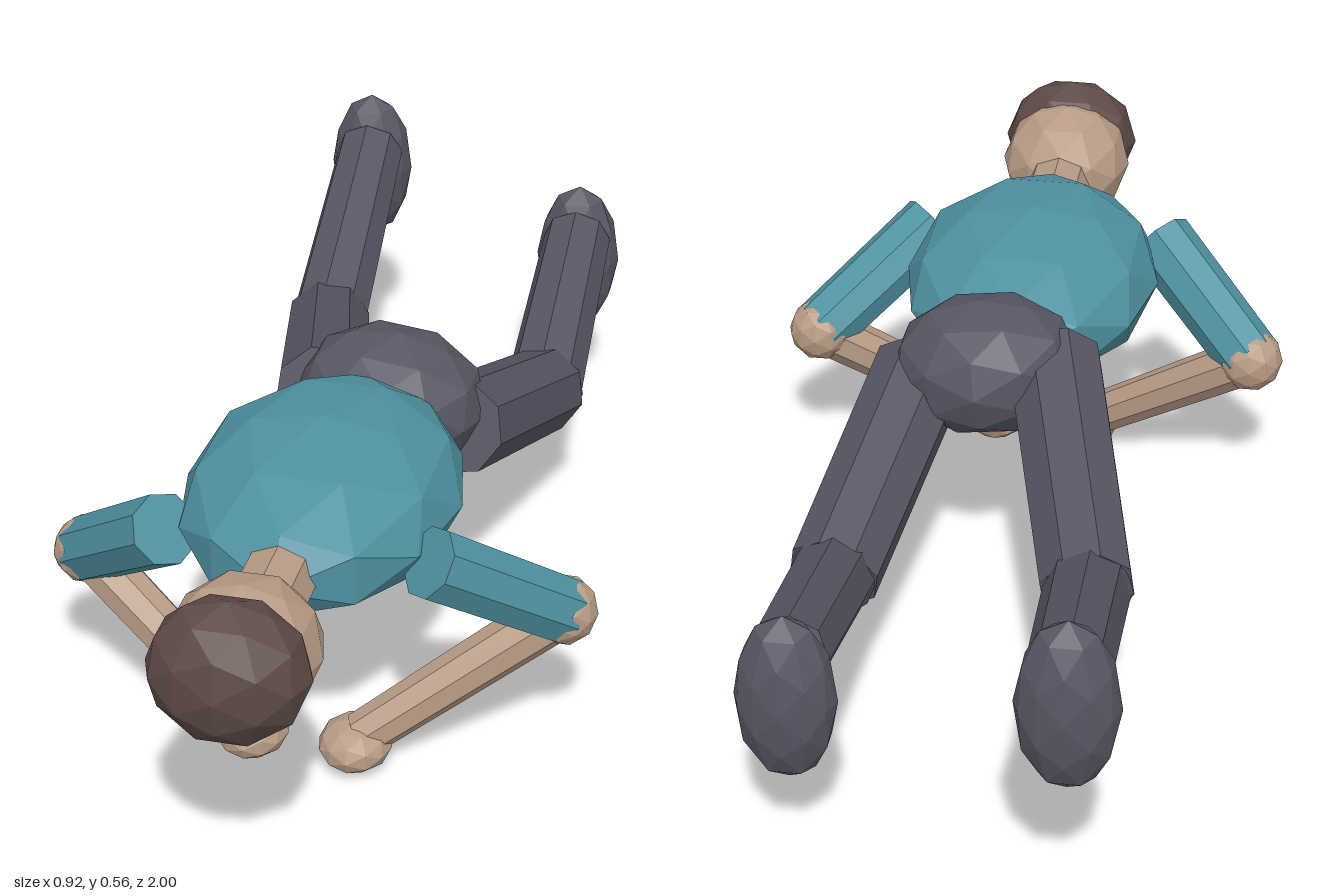
import * as THREE from 'three';

const flat = (name, color) => {
  const m = new THREE.MeshStandardMaterial({ color, flatShading: true });
  m.name = name;
  return m;
};

export function createModel() {
  const shirt = flat('shirt teal', 0x4f91a0);
  const skin = flat('skin', 0xb89c86);
  const hair = flat('hair brown', 0x5c4a46);
  const trousers = flat('trousers grey', 0x565664);
  const dark = flat('eye dark', 0x2b2020);

  const model = new THREE.Group();
  model.name = 'lyingFigure';

  // faceted ellipsoid with half sizes r
  function blob(name, mat, p, r, parent = model) {
    const geo = new THREE.IcosahedronGeometry(1, 1).scale(...r);
    const mesh = new THREE.Mesh(geo, mat);
    mesh.name = name;
    mesh.position.set(...p);
    parent.add(mesh);
    return mesh;
  }

  // eight-sided limb running from point a to point b
  function limb(name, mat, a, b, ra, rb, parent = model) {
    const from = new THREE.Vector3(...a), to = new THREE.Vector3(...b);
    const dir = to.clone().sub(from);
    const mesh = new THREE.Mesh(new THREE.CylinderGeometry(rb, ra, dir.length(), 8), mat);
    mesh.name = name;
    mesh.position.copy(from).add(to).multiplyScalar(0.5);
    mesh.quaternion.setFromUnitVectors(new THREE.Vector3(0, 1, 0), dir.normalize());
    parent.add(mesh);
    return mesh;
  }

  // body, lying face down along z
  blob('torso', shirt, [0, 0.425, 0.345], [0.228, 0.137, 0.318]);
  blob('pelvis', trousers, [0.035, 0.428, 0.01], [0.165, 0.12, 0.14]).rotation.z = -0.12;
  limb('neck', skin, [0, 0.425, 0.55], [0, 0.425, 0.75], 0.06, 0.06);

  // head
  blob('head', skin, [0, 0.427, 0.825], [0.122, 0.112, 0.135]);
  blob('hair', hair, [0, 0.44, 0.902], [0.127, 0.118, 0.096]);

  // arms and eyes, mirrored
  for (const s of [1, -1]) {
    const side = s > 0 ? 'left' : 'right';
    const arm = new THREE.Group();
    arm.name = side + 'Arm';
    model.add(arm);
    const elbow = [s * 0.4, 0.27, 0.367];
    limb('upperArm', shirt, [s * 0.213, 0.425, 0.522], elbow, 0.06, 0.057, arm);
    blob('elbow', skin, elbow, [0.058, 0.058, 0.058], arm);
    limb('forearm', skin, elbow, [s * 0.095, 0.055, 0.485], 0.045, 0.039, arm);
    blob('hand', skin, [s * 0.087, 0.044, 0.49], [0.061, 0.042, 0.069], arm);
    blob(side + 'Eye', dark, [s * 0.043, 0.328, 0.85], [0.015, 0.013, 0.015]);
  }

  // legs, each bent at the knee by a different amount
  const legs = [
    ['leftLeg', [0.152, 0.39, 0.03], [0.225, 0.245, -0.4], [0.212, 0.365, -0.805], [0.21, 0.312, -0.835]],
    ['rightLeg', [-0.082, 0.425, 0.03], [-0.2, 0.3, -0.465], [-0.225, 0.46, -0.91], [-0.228, 0.418, -0.938]],
  ];
  for (const [name, hip, knee, ankle, foot] of legs) {
    const leg = new THREE.Group();
    leg.name = name;
    model.add(leg);
    limb('thigh', trousers, hip, knee, 0.084, 0.079, leg);
    blob('knee', trousers, knee, [0.074, 0.074, 0.074], leg);
    limb('shin', trousers, knee, ankle, 0.071, 0.064, leg);
    blob('foot', trousers, foot, [0.08, 0.147, 0.06], leg);
  }

  return model;
}
